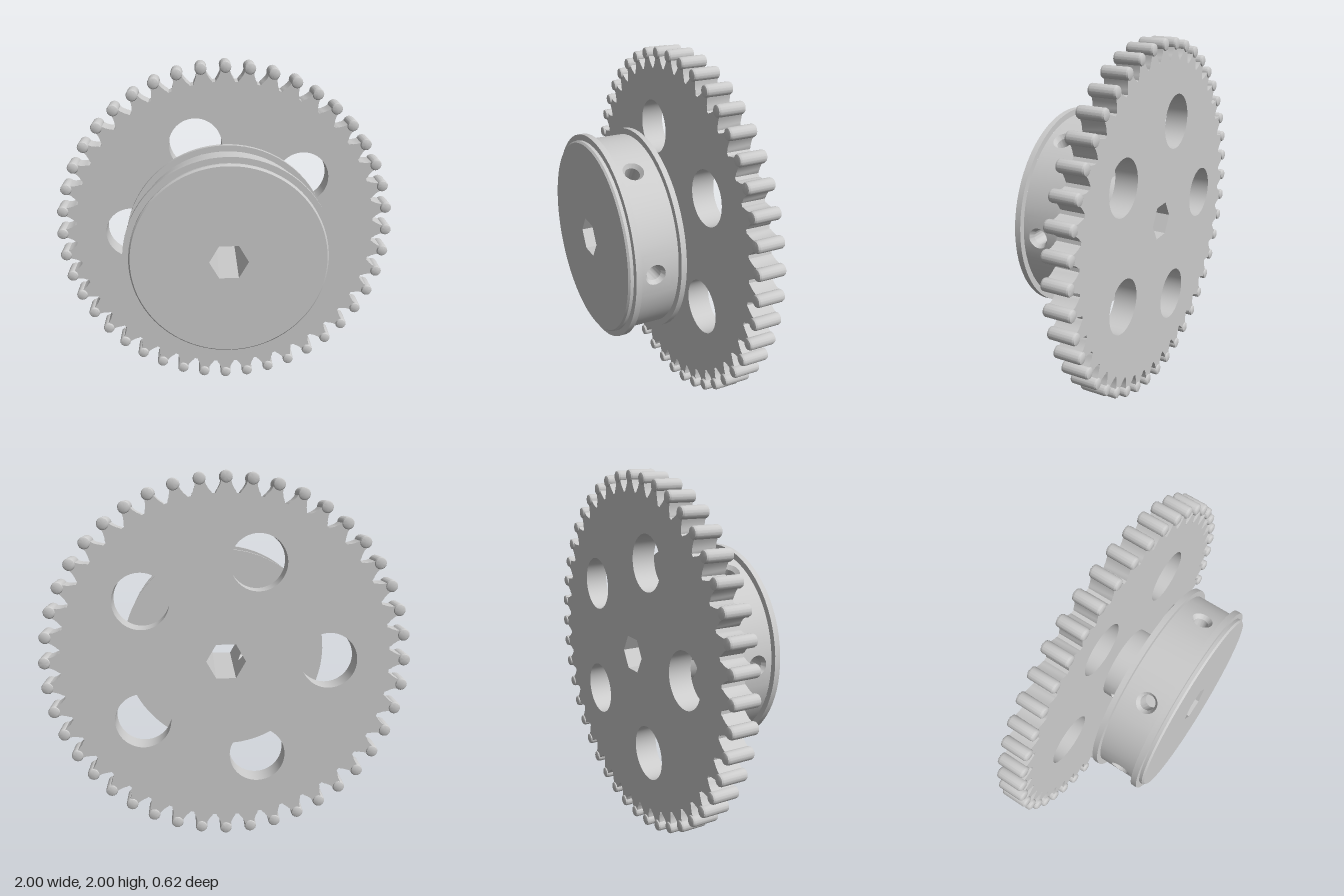
import * as THREE from 'three';
import { mergeGeometries, toCreasedNormals } from 'three/addons/utils/BufferGeometryUtils.js';

const TEETH = 44, BORE = 0.107, GEAR_BACK = -0.3, GEAR_FRONT = -0.17, DRUM_FRONT = 0.31;
const DRUM_R = 0.54, SHAFT_R = 0.213;
const V2 = (x, y) => new THREE.Vector2(x, y);
const polar = (r, a) => V2(r * Math.cos(a), r * Math.sin(a));
const material = new THREE.MeshStandardMaterial({ color: 0xcccccc });

// Merge pieces into one named mesh with sharp edges kept
function part(name, pieces) {
  const plain = pieces.map((g) => {
    const n = g.index ? g.toNonIndexed() : g.clone();
    n.deleteAttribute('uv');
    n.deleteAttribute('normal');
    n.computeVertexNormals();
    return n;
  });
  const mesh = new THREE.Mesh(toCreasedNormals(mergeGeometries(plain), 0.5), material);
  mesh.name = name;
  return mesh;
}

// Lathe about z, profile of [radius, z], starting at an angle measured from +x
function turn(profile, segments = 72, start = 0, length = Math.PI * 2) {
  const pts = profile.map(([r, z]) => V2(r, z));
  return new THREE.LatheGeometry(pts, segments, start + Math.PI / 2, length).rotateX(Math.PI / 2);
}

// Inward facing hexagonal bore wall between two z values
function boreWall(z0, z1, segments = 6, start = Math.PI / 2, length = Math.PI * 2) {
  const g = new THREE.CylinderGeometry(BORE, BORE, z1 - z0, segments, 1, true, start, length);
  g.rotateX(Math.PI / 2).translate(0, 0, (z0 + z1) / 2).scale(-1, 1, 1);
  const idx = g.index.array;
  // mirroring flips the corner order, which turns the wall inward
  return new THREE.BufferGeometry().setAttribute('position', g.attributes.position).setIndex([...idx]);
}

// Skin between closed loops of points
function loft(rows) {
  const n = rows[0].length, pos = rows.flat().flatMap((p) => p), index = [];
  for (let i = 0; i < rows.length - 1; i++) {
    for (let j = 0; j < n; j++) {
      const k = (j + 1) % n, a = i * n + j, b = i * n + k, c = b + n, d = a + n;
      index.push(a, b, c, a, c, d);
    }
  }
  const g = new THREE.BufferGeometry();
  return g.setAttribute('position', new THREE.Float32BufferAttribute(pos, 3)).setIndex(index);
}

const ANGLES = Array.from({ length: 48 }, (_, i) => (i / 48) * Math.PI * 2);
const roundHole = (r) => ANGLES.map((a) => [r * Math.cos(a), r * Math.sin(a)]);
const hexHole = (r) => ANGLES.map((a) => {
  const k = r * Math.cos(Math.PI / 6) / Math.cos((a % (Math.PI / 3)) - Math.PI / 6);
  return [k * Math.cos(a), k * Math.sin(a)];
});
const rect = (half, lo, hi) => ANGLES.map((a) => {
  const c = Math.cos(a), s = Math.sin(a), m = Math.max(Math.abs(c), Math.abs(s));
  return [(c / m) * half, (s / m) * (s > 0 ? hi : lo)];
});
const mix = (A, B, t) => A.map((p, i) => [p[0] + (B[i][0] - p[0]) * t, p[1] + (B[i][1] - p[1]) * t]);
// Place a flat loop on a surface facing +x, centred at height zc
const place = (loop, zc, depth) => loop.map(([u, z]) => [depth(u), u, z + zc]);
const onCylinder = (R) => (u) => Math.sqrt(R * R - u * u);
const STEPS = [0, 0.33, 0.67, 1];

// Hexagonal closed path
function hexPath() {
  return new THREE.Path(Array.from({ length: 6 }, (_, i) => polar(BORE, (i * Math.PI) / 3)));
}

function gearPlate() {
  // flank of one tooth: radius and half width
  const flank = [[0.885, 0.054], [0.897, 0.049], [0.907, 0.041], [0.93, 0.03], [0.955, 0.024]];
  const outline = [];
  for (let i = 0; i < TEETH; i++) {
    const mid = Math.PI * 2 * i / TEETH;
    flank.forEach(([r, w]) => outline.push(polar(r, mid - w / r)));
    [...flank].reverse().forEach(([r, w]) => outline.push(polar(r, mid + w / r)));
  }
  const shape = new THREE.Shape(outline);
  shape.holes.push(hexPath());
  for (let i = 0; i < 5; i++) {
    const c = polar(0.557, Math.PI + (i * Math.PI * 2) / 5);
    shape.holes.push(new THREE.Path().absarc(c.x, c.y, 0.152, 0, Math.PI * 2, true));
  }
  const g = new THREE.ExtrudeGeometry(shape, {
    depth: GEAR_FRONT - GEAR_BACK, bevelEnabled: false, curveSegments: 40,
  });
  return part('gearPlate', [g.translate(0, 0, GEAR_BACK)]);
}

// Rounded pins on the tooth tips
function toothPins() {
  const profile = [[0, -0.31], [0.02, -0.31], [0.029, -0.306], [0.033, -0.297],
    [0.033, -0.168], [0.029, -0.159], [0.02, -0.155], [0, -0.155]];
  const pins = [];
  for (let i = 0; i < TEETH; i++) {
    const c = polar(0.966, Math.PI * 2 * i / TEETH);
    pins.push(turn(profile, 16).translate(c.x, c.y, 0));
  }
  return part('toothPins', pins);
}

// Neck with a hexagonal cross hole into the bore on both sides
function shaft() {
  const zc = -0.077, lo = zc - GEAR_FRONT, hi = -zc, half = 0.08;
  const hole = hexHole(0.048), outer = rect(half, lo, hi);
  const inner = rect(BORE * Math.sin(Math.PI / 3), lo, hi);
  const onBore = (u) => BORE - Math.abs(u) / Math.sqrt(3);
  const a = Math.asin(half / SHAFT_R), pieces = [];
  for (const side of [0, Math.PI]) {
    pieces.push(loft([
      ...STEPS.map((t) => place(mix(outer, hole, t), zc, onCylinder(SHAFT_R))),
      ...STEPS.map((t) => place(mix(hole, inner, t), zc, onBore)),
    ]).rotateZ(side));
    pieces.push(turn([[SHAFT_R, GEAR_FRONT], [SHAFT_R, 0]], 24, side + a, Math.PI - 2 * a));
    // flat bore faces above and below the cross hole
    pieces.push(boreWall(GEAR_FRONT, 0, 1, Math.PI * 5 / 6, Math.PI / 3).rotateZ(side));
  }
  return part('shaft', pieces);
}

// Flanged drum with six countersunk radial holes
function drum() {
  const z0 = 0.03, z1 = 0.25, zc = 0.16, half = 0.12;
  const a = Math.asin(half / DRUM_R), frame = rect(half, zc - z0, z1 - zc), pieces = [];
  for (let i = 0; i < 6; i++) {
    const angle = (i * Math.PI) / 3;
    pieces.push(loft([
      ...STEPS.map((t) => place(mix(frame, roundHole(0.056), t), zc, onCylinder(DRUM_R))),
      place(roundHole(0.04), zc, () => DRUM_R - 0.025),
      place(roundHole(0.04), zc, () => DRUM_R - 0.13),
      place(roundHole(0.0005), zc, () => DRUM_R - 0.13),
    ]).rotateZ(angle));
    pieces.push(turn([[DRUM_R, z0], [DRUM_R, z1]], 8, angle + a, Math.PI / 3 - 2 * a));
  }
  pieces.push(turn([[SHAFT_R - 0.01, 0], [0.573, 0], [0.573, z0], [DRUM_R, z0]]));
  pieces.push(turn([[DRUM_R, z1], [0.573, z1], [0.573, 0.283], [DRUM_R, 0.283],
    [DRUM_R, 0.3], [0.531, DRUM_FRONT]]));
  const face = new THREE.Shape().absarc(0, 0, 0.531, 0, Math.PI * 2, false);
  face.holes.push(hexPath());
  pieces.push(new THREE.ShapeGeometry(face, 72).translate(0, 0, DRUM_FRONT));
  pieces.push(boreWall(0, DRUM_FRONT));
  return part('drum', pieces);
}

export function createModel() {
  const model = new THREE.Group();
  model.name = 'gearWithHub';
  model.add(gearPlate(), toothPins(), shaft(), drum());
  model.position.y = 1;
  const root = new THREE.Group();
  root.add(model);
  return root;
}
